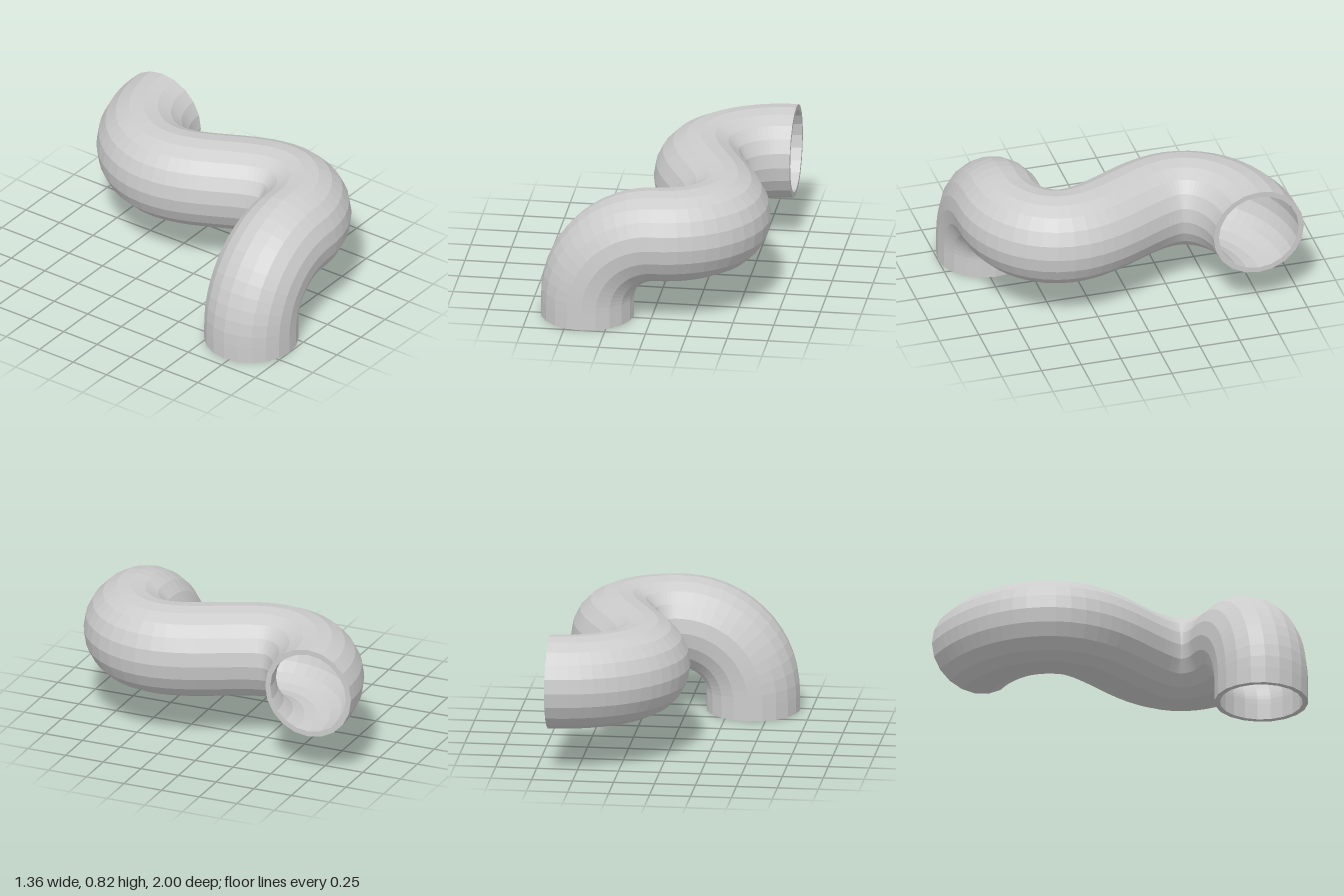
import * as THREE from 'three';

const OUTER = 0.285, INNER = 0.252, SIDES = 20, STEPS = 54;
const K = 0.5523; // handle length of a quarter bend
const v = (x, y, z) => new THREE.Vector3(x, y, z);

// Quarter bend from a to b, rounding off the given corner
function bend(a, corner, b) {
  return new THREE.CubicBezierCurve3(a, a.clone().lerp(corner, K), b.clone().lerp(corner, K), b);
}

export function createModel() {
  const group = new THREE.Group();
  group.name = 'bentPipe';
  const material = new THREE.MeshStandardMaterial({
    color: 0xcccccc, flatShading: true, side: THREE.DoubleSide,
  });
  const add = (name, geometry) => {
    const mesh = new THREE.Mesh(geometry, material);
    mesh.name = name;
    group.add(mesh);
    return mesh;
  };

  // Centre line: up, over to the side, then an S bend at constant height
  const y = 0.54;
  const foot = v(-0.395, 0, 0.715), rise = v(-0.395, 0.115, 0.715);
  const level = v(0.03, y, 0.715), turn = v(0.39, y, 0.4);
  const back = v(0.155, y, -0.3), mouth = v(0.675, y, -0.715);
  const path = new THREE.CurvePath();
  path.add(new THREE.LineCurve3(foot, rise));
  path.add(bend(rise, v(-0.395, y, 0.715), level));
  path.add(bend(level, v(0.39, y, 0.715), turn));
  path.add(new THREE.CubicBezierCurve3(turn, v(0.39, y, 0.17), v(0.155, y, -0.07), back));
  path.add(bend(back, v(0.155, y, -0.715), mouth));

  // Outer and inner walls
  add('outerWall', new THREE.TubeGeometry(path, STEPS, OUTER, SIDES));
  add('innerWall', new THREE.TubeGeometry(path, STEPS, INNER, SIDES));

  // Flat rims closing the wall at both openings
  const rim = new THREE.RingGeometry(INNER, OUTER, SIDES);
  const bottomRim = add('bottomRim', rim);
  bottomRim.position.copy(foot);
  bottomRim.rotation.x = Math.PI / 2;
  const sideRim = add('sideRim', rim);
  sideRim.position.copy(mouth);
  sideRim.rotation.y = Math.PI / 2;

  return group;
}
